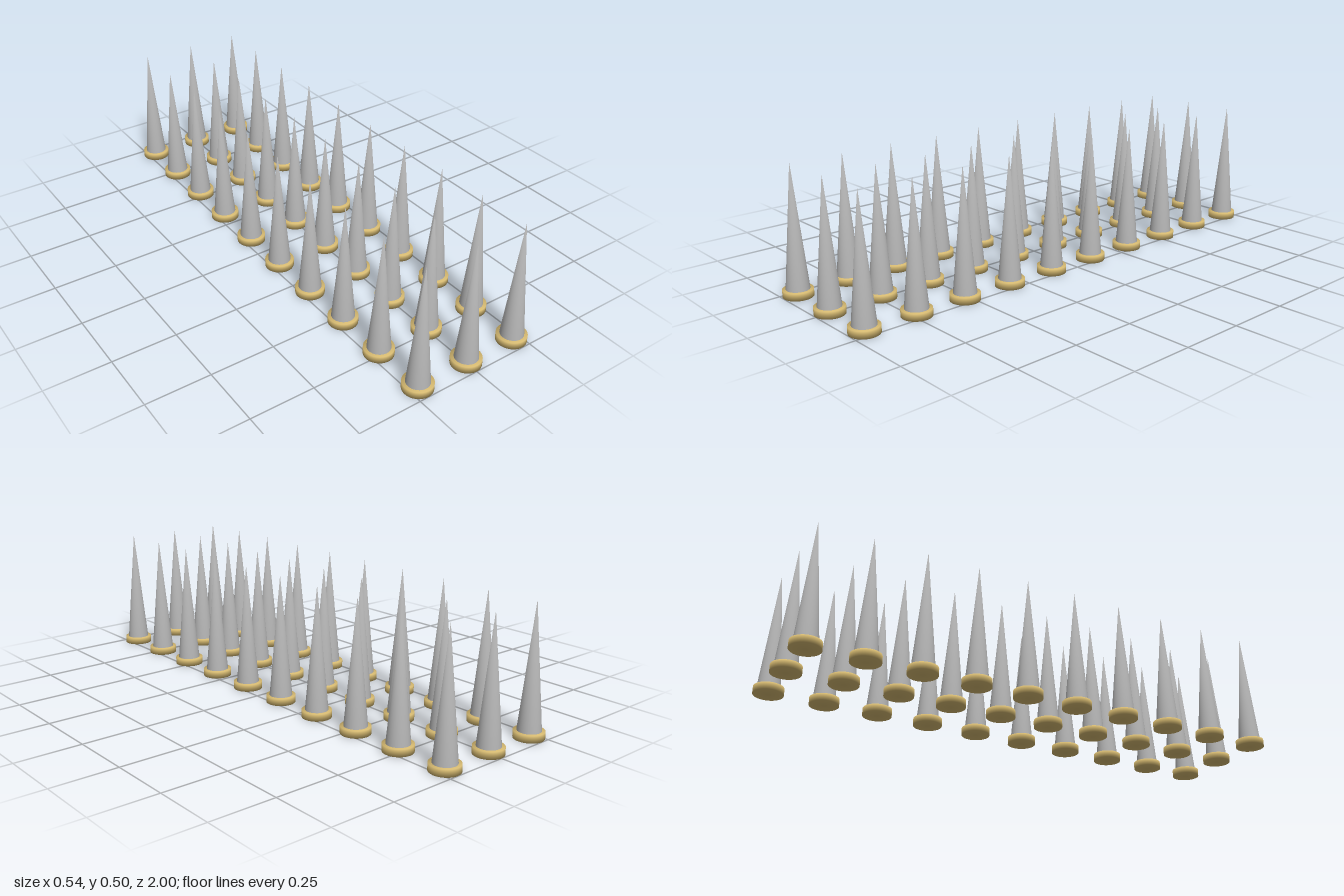
import * as THREE from 'three';
import { mergeVertices } from 'three/addons/utils/BufferGeometryUtils.js';

const BASE_RADIUS = 0.056, BASE_HEIGHT = 0.028;
const SPIKE_RADIUS = 0.0435, TIP = 0.495;

// Weld the vertices so the shading runs smoothly over rims and tip
function soften(geometry) {
  geometry.deleteAttribute('uv');
  geometry.deleteAttribute('normal');
  const welded = mergeVertices(geometry, 1e-5);
  welded.computeVertexNormals();
  return welded;
}

export function createModel() {
  const group = new THREE.Group();
  group.name = 'spikeField';

  const brass = new THREE.MeshStandardMaterial({ color: 0xd4b870 });
  const steel = new THREE.MeshStandardMaterial({ color: 0xb4b4b4 });

  // Round collar standing on the ground
  const collarGeometry = soften(new THREE.CylinderGeometry(BASE_RADIUS, BASE_RADIUS, BASE_HEIGHT, 32));
  collarGeometry.translate(0, BASE_HEIGHT / 2, 0);

  // Slender cone rising from the collar
  const spikeHeight = TIP - BASE_HEIGHT;
  const spikeGeometry = soften(new THREE.ConeGeometry(SPIKE_RADIUS, spikeHeight, 32, 1, true));
  spikeGeometry.translate(0, BASE_HEIGHT + spikeHeight / 2, 0);

  // Three columns of ten spikes
  const columns = 3, rows = 10, spacingX = 0.215, endZ = 1 - BASE_RADIUS;
  for (let c = 0; c < columns; c++) {
    for (let r = 0; r < rows; r++) {
      const unit = new THREE.Group();
      unit.name = `spikeUnit_${c + 1}_${r + 1}`;
      const collar = new THREE.Mesh(collarGeometry, brass);
      collar.name = 'collar';
      const spike = new THREE.Mesh(spikeGeometry, steel);
      spike.name = 'spike';
      unit.add(collar, spike);
      unit.position.set((c - 1) * spacingX, 0, endZ * (2 * r / (rows - 1) - 1));
      group.add(unit);
    }
  }
  return group;
}
